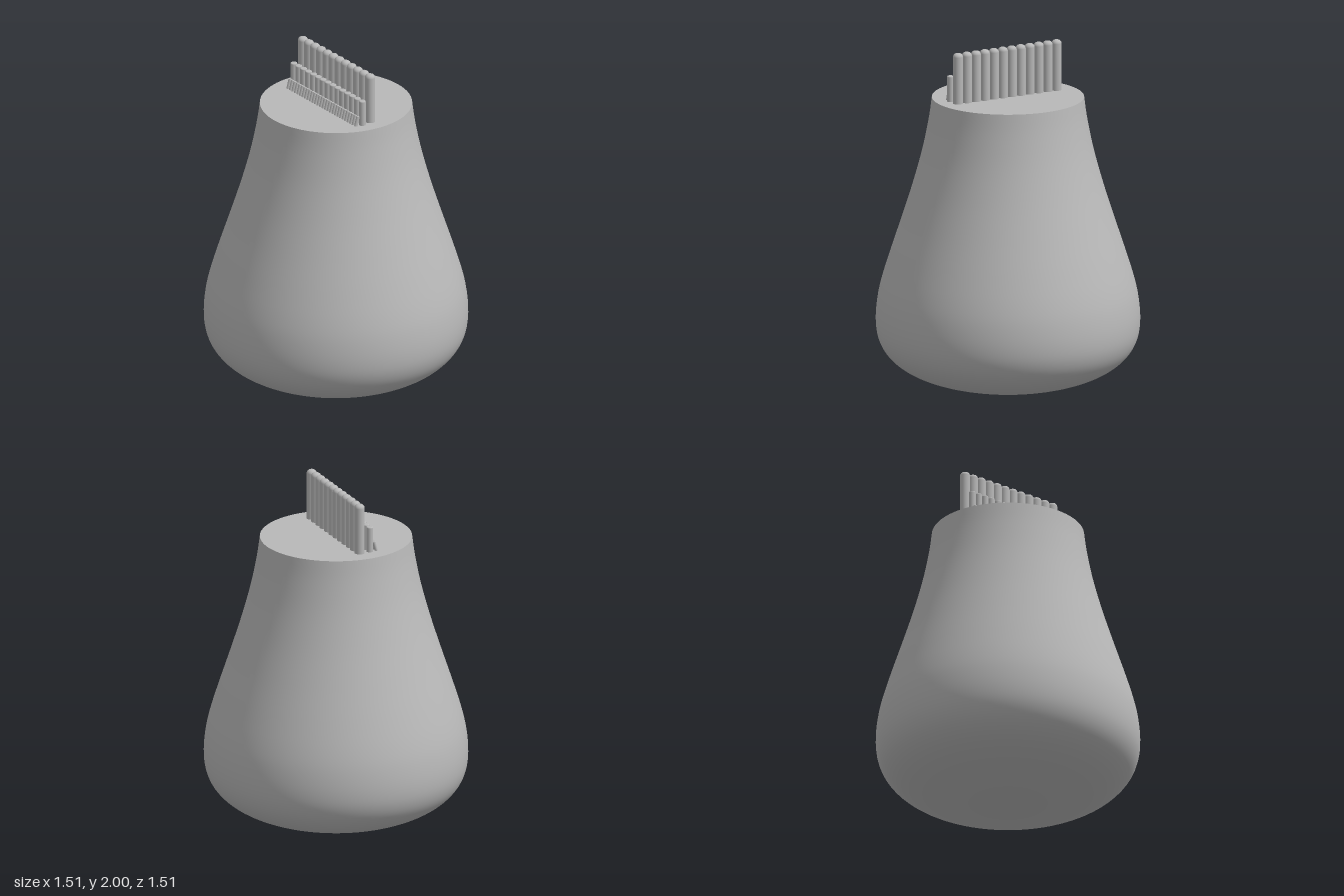
import * as THREE from 'three';

export function createModel() {
  const group = new THREE.Group();
  const grey = new THREE.MeshStandardMaterial({ color: 0xb8b8b8 });
  grey.name = 'plain grey';

  const add = (name, geometry, parent = group) => {
    const mesh = new THREE.Mesh(geometry, grey);
    mesh.name = name;
    parent.add(mesh);
    return mesh;
  };

  // Pear-shaped body, turned from a smooth curve
  const TOP = 1.705, RIM = 0.435;
  const profile = new THREE.SplineCurve([
    [0, 0], [0.17, 0.008], [0.34, 0.035], [0.5, 0.08], [0.62, 0.14], [0.7, 0.215],
    [0.742, 0.3], [0.755, 0.4], [0.746, 0.52], [0.72, 0.64], [0.671, 0.8],
    [0.605, 1.0], [0.542, 1.2], [0.488, 1.4], [0.452, 1.58], [RIM, TOP],
  ].map(([x, y]) => new THREE.Vector2(x, y)));
  const points = profile.getPoints(64);
  points.forEach((p) => p.set(Math.max(p.x, 0), Math.max(p.y, 0)));
  add('body', new THREE.LatheGeometry(points, 96));

  // Flat top face
  const lid = add('topFace', new THREE.CircleGeometry(RIM, 96));
  lid.rotation.x = -Math.PI / 2;
  lid.position.y = TOP;

  // Upright rod with a rounded tip, base at the origin
  const rodGeometry = (radius, height, round, sides) => {
    const outline = [new THREE.Vector2(radius, 0)];
    for (let i = 0; i <= 5; i++) {
      const a = (i / 5) * Math.PI / 2;
      outline.push(new THREE.Vector2(
        radius - round + round * Math.cos(a), height - round + round * Math.sin(a)));
    }
    outline.push(new THREE.Vector2(0, height));
    return new THREE.LatheGeometry(outline, sides);
  };

  // Straight row of equal rods standing on the top face
  const addRow = (name, count, x0, x1, z, geometry, tilt = 0) => {
    const row = new THREE.Group();
    row.name = name + 'Row';
    group.add(row);
    for (let i = 0; i < count; i++) {
      const rod = add(name, geometry, row);
      rod.position.set(x0 + (x1 - x0) * i / (count - 1), TOP - 0.005, z);
      rod.rotation.x = tilt;
    }
  };

  addRow('tallRod', 12, -0.32, 0.33, 0, rodGeometry(0.029, 0.3, 0.022, 24));
  addRow('mediumRod', 15, -0.32, 0.342, 0.064, rodGeometry(0.02, 0.155, 0.006, 20));
  // Short rods lean backward
  addRow('shortRod', 28, -0.32, 0.336, 0.106, rodGeometry(0.01, 0.063, 0.002, 12), -0.27);

  return group;
}
